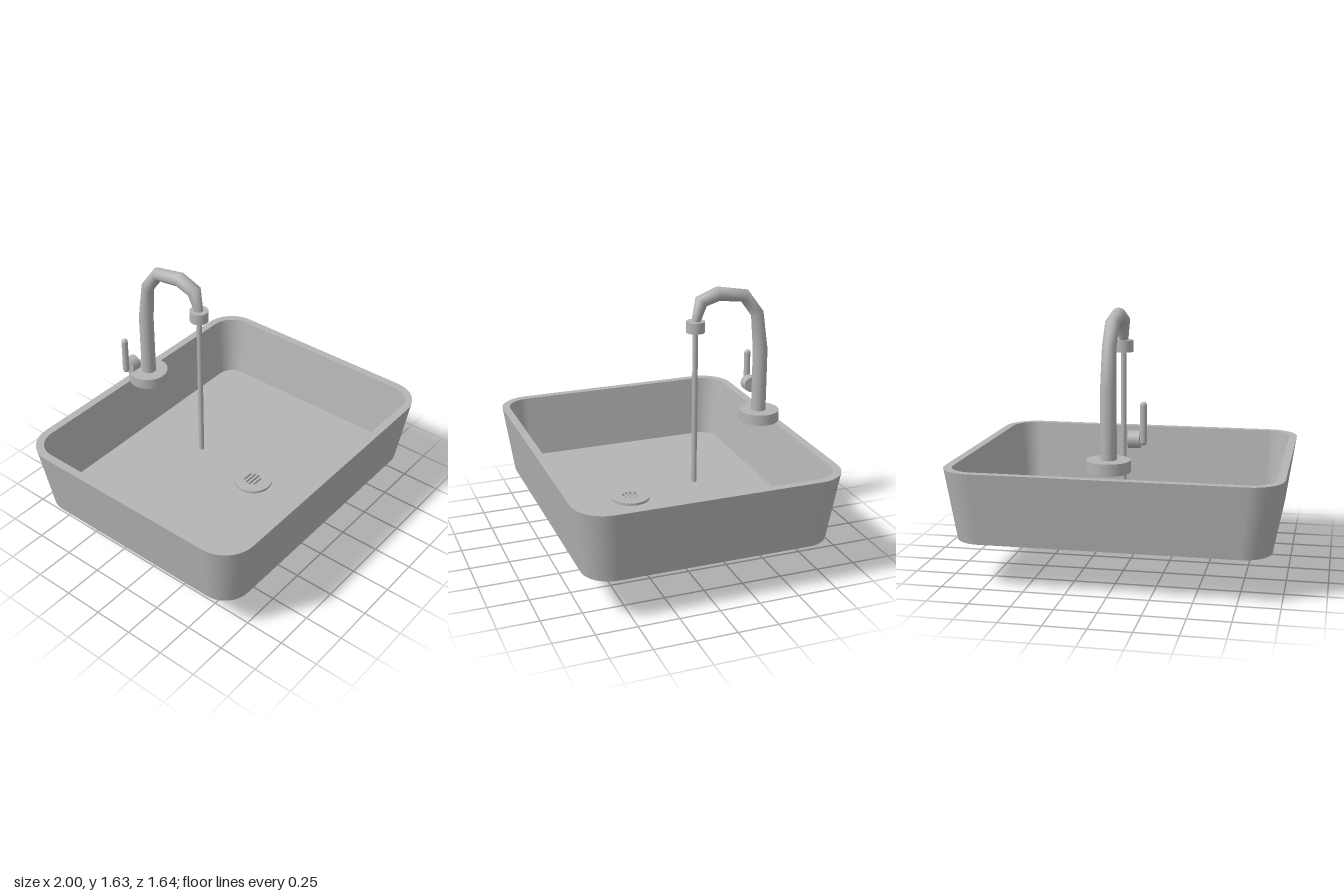
import * as THREE from 'three';

// Skin a list of closed rings; creased keeps a hard edge at every ring
function loft(rings, creased) {
  const pos = [], idx = [], n = rings[0].length;
  const strip = (a, b) => {
    for (let i = 0; i < n; i++) {
      const j = (i + 1) % n;
      idx.push(a + i, a + j, b + j, a + i, b + j, b + i);
    }
  };
  if (creased) {
    for (let k = 0; k < rings.length - 1; k++) {
      const base = pos.length / 3;
      for (const p of [...rings[k], ...rings[k + 1]]) pos.push(...p);
      strip(base, base + n);
    }
  } else {
    for (const ring of rings) for (const p of ring) pos.push(...p);
    for (let k = 0; k < rings.length - 1; k++) strip(k * n, (k + 1) * n);
  }
  const g = new THREE.BufferGeometry();
  g.setAttribute('position', new THREE.Float32BufferAttribute(pos, 3));
  g.setIndex(idx);
  g.computeVertexNormals();
  return g;
}

// Rounded rectangle ring at height y
function roundedRing(hx, hz, r, y, steps = 10) {
  const ring = [];
  const corners = [[1, 1], [-1, 1], [-1, -1], [1, -1]];
  corners.forEach(([sx, sz], c) => {
    for (let i = 0; i <= steps; i++) {
      const a = (c + i / steps) * Math.PI / 2;
      ring.push([sx * (hx - r) + r * Math.cos(a), y, -(sz * (hz - r) + r * Math.sin(a))]);
    }
  });
  return ring;
}

export function createModel() {
  const group = new THREE.Group();
  const grey = new THREE.MeshStandardMaterial({ color: 0xb4b4b4 });
  grey.name = 'grey';

  const add = (name, geometry, x = 0, y = 0, z = 0) => {
    const mesh = new THREE.Mesh(geometry, grey);
    mesh.name = name;
    mesh.position.set(x, y, z);
    group.add(mesh);
    return mesh;
  };
  // Upright cylinder between two heights
  const post = (name, r, y0, y1, z, sides = 32) =>
    add(name, new THREE.CylinderGeometry(r, r, y1 - y0, sides), 0, (y0 + y1) / 2, z);

  // Basin: underside, tapered outer wall, rim, inner wall and floor
  const floorY = 0.31;
  add('basin', loft([
    roundedRing(0, 0, 0, 0.275),
    roundedRing(0.935, 0.76, 0.17, 0.275),
    roundedRing(1, 0.82, 0.2, 0.71),
    roundedRing(0.95, 0.77, 0.15, 0.71),
    roundedRing(0.9, 0.72, 0.11, floorY),
    roundedRing(0, 0, 0, floorY),
  ], true));

  // Drain cover with a round grille of slots
  const cover = new THREE.Shape().absarc(0, 0, 0.122, 0, Math.PI * 2);
  for (let i = -2; i <= 1; i++) {
    const y = (i + 0.5) * 0.026, h = 0.008;
    const w = Math.sqrt(0.055 ** 2 - y * y);
    cover.holes.push(new THREE.Path([
      new THREE.Vector2(-w, y - h), new THREE.Vector2(-w, y + h),
      new THREE.Vector2(w, y + h), new THREE.Vector2(w, y - h),
    ]));
  }
  const coverGeometry = new THREE.ExtrudeGeometry(cover, { depth: 0.017, bevelEnabled: false, curveSegments: 32 });
  coverGeometry.rotateX(-Math.PI / 2);
  add('drainCover', coverGeometry, 0, floorY - 0.001, 0.2);
  post('drainPipe', 0.017, 0, 0.29, 0.205, 16);

  // Faucet base and bent spout: [y, z, radius] along the path
  post('faucetBase', 0.127, 0.73, 0.8, -0.68, 40);
  const path = [
    [0.79, -0.675, 0.047], [1.2, -0.675, 0.047], [1.44, -0.647, 0.041], [1.562, -0.557, 0.042],
    [1.59, -0.38, 0.045], [1.55, -0.267, 0.045], [1.42, -0.232, 0.027],
  ];
  const unit = (a, b) => new THREE.Vector2(b[0] - a[0], b[1] - a[1]).normalize();
  const spoutRings = path.map(([y, z, r], k) => {
    const t = new THREE.Vector2();
    if (k > 0) t.add(unit(path[k - 1], path[k]));
    if (k < path.length - 1) t.add(unit(path[k], path[k + 1]));
    t.normalize();
    return Array.from({ length: 20 }, (_, i) => {
      const a = i / 20 * Math.PI * 2, s = r * Math.sin(a);
      return [r * Math.cos(a), y + t.y * s, z - t.x * s];
    });
  });
  add('spout', loft(spoutRings, false));

  // Nozzle and the stream falling from it
  post('nozzle', 0.058, 1.36, 1.43, -0.232);
  post('waterStream', 0.017, 0.36, 1.37, -0.232, 16);

  // Side handle with an upright lever
  const hub = add('handleHub', new THREE.CylinderGeometry(0.05, 0.05, 0.067, 28), -0.152, 0.925, -0.68);
  hub.rotation.z = Math.PI / 2;
  add('handleLever', new THREE.CapsuleGeometry(0.02, 0.21, 6, 16), -0.202, 1.015, -0.68);

  return group;
}
